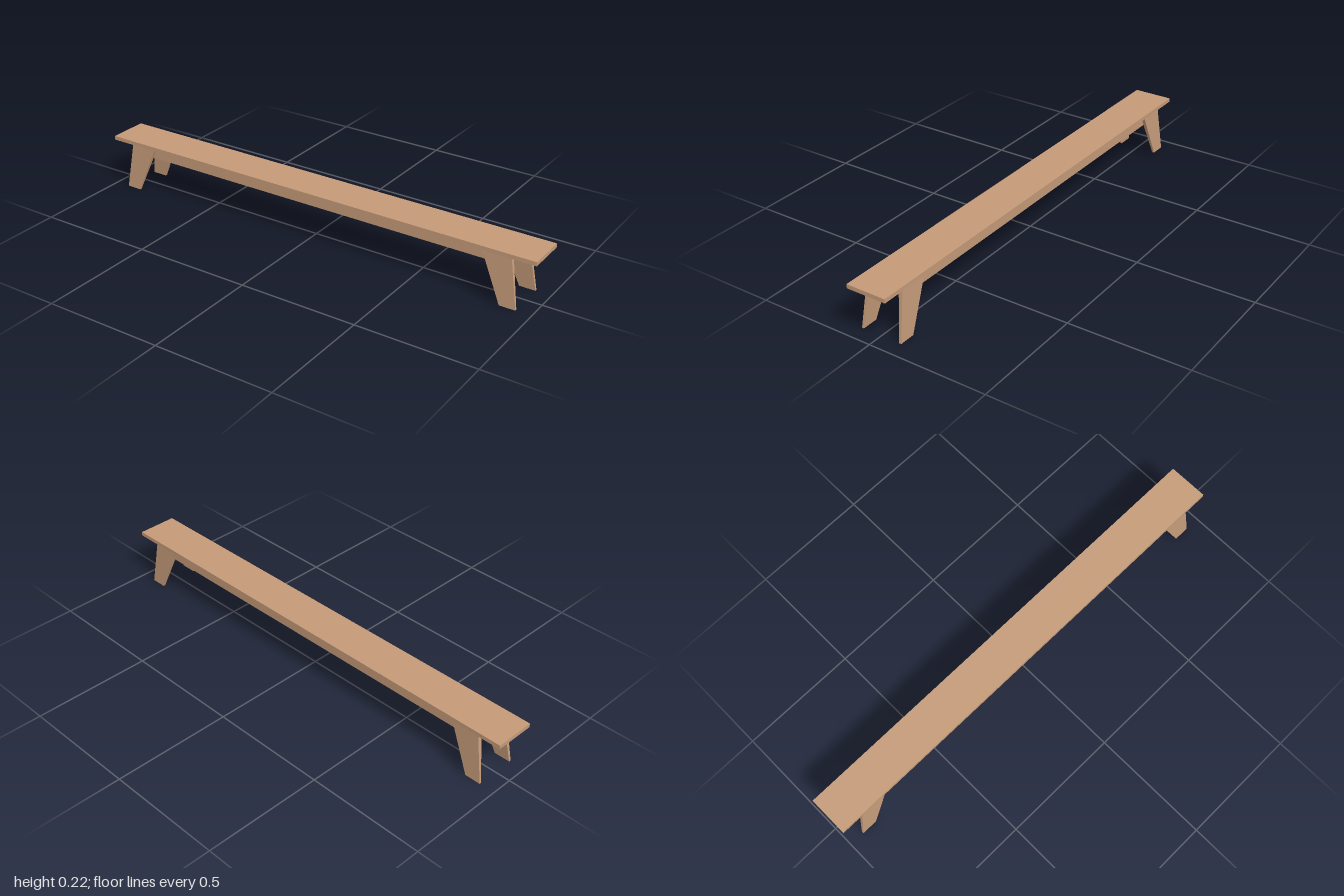
import * as THREE from 'three';

export function createModel() {
  const bench = new THREE.Group();
  bench.name = 'bench';
  const wood = new THREE.MeshStandardMaterial({ color: 0xc49a78 });
  wood.name = 'lightWood';

  const board = (name, w, h, d, x, y, z) => {
    const mesh = new THREE.Mesh(new THREE.BoxGeometry(w, h, d), wood);
    mesh.name = name;
    mesh.position.set(x, y, z);
    bench.add(mesh);
  };

  // Tapered, splayed leg: each box corner is moved to its place by side
  const leg = (name, sx, sz) => {
    const geo = new THREE.BoxGeometry(1, 1, 1);
    const p = geo.attributes.position;
    for (let i = 0; i < p.count; i++) {
      const top = p.getY(i) > 0;
      const outerX = p.getX(i) * sx > 0;
      const outerZ = p.getZ(i) * sz > 0;
      const x = top ? (outerX ? 0.9 : 0.78) : (outerX ? 0.935 : 0.868);
      const z = top ? (outerZ ? 0.08 : 0.063) : (outerZ ? 0.09 : 0.081);
      p.setXYZ(i, sx * x, top ? 0.204 : 0, sz * z);
    }
    const flat = geo.toNonIndexed();
    flat.computeVertexNormals();
    const mesh = new THREE.Mesh(flat, wood);
    mesh.name = name;
    bench.add(mesh);
  };

  // Seat plank
  board('seat', 2, 0.017, 0.17, 0, 0.2115, 0);

  // Hollow apron frame under the seat
  const apronH = 0.043, apronY = 0.1815;
  for (const s of [1, -1]) {
    board(s > 0 ? 'frontRail' : 'backRail', 1.62, apronH, 0.01, 0, apronY, s * 0.061);
    board(s > 0 ? 'leftEndRail' : 'rightEndRail', 0.01, apronH, 0.112, s * 0.805, apronY, 0);
  }

  // Four legs
  for (const sx of [1, -1])
    for (const sz of [1, -1])
      leg((sz > 0 ? 'front' : 'back') + (sx > 0 ? 'Left' : 'Right') + 'Leg', sx, sz);

  return bench;
}
